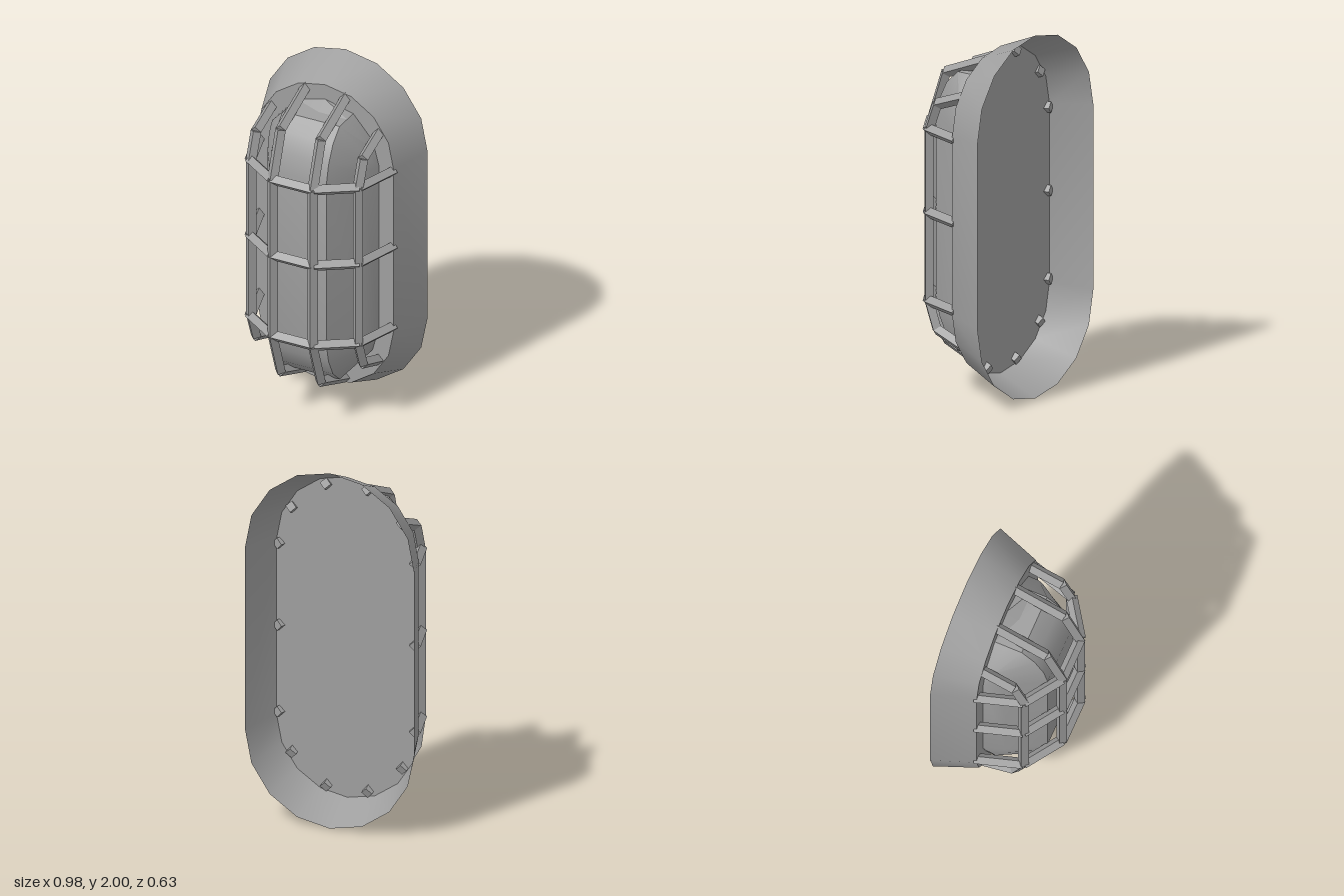
import * as THREE from 'three';
import { toCreasedNormals } from 'three/addons/utils/BufferGeometryUtils.js';

const MID = 1;          // height of the lamp's centre
const STRAIGHT = 0.49;  // half length of the straight sides
const PLATE_Z = -0.08;
const BACK_Z = -0.315;

// Long rounded outline with eight segments per half circle
function stadium(r, half) {
  const pts = [];
  for (let end = 0; end < 2; end++) {
    for (let i = 0; i <= 8; i++) {
      const a = end * Math.PI + (i * Math.PI) / 8;
      pts.push(new THREE.Vector2(r * Math.cos(a), MID + (end ? -half : half) + r * Math.sin(a)));
    }
  }
  return pts;
}

// Surface from rows of points, rows joined in order
function loft(rows, crease) {
  const n = rows[0].length, pos = [], idx = [];
  rows.forEach((row) => row.forEach((p) => pos.push(...p)));
  for (let i = 0; i < rows.length - 1; i++) {
    for (let j = 0; j < n - 1; j++) {
      const a = i * n + j, b = a + 1, d = a + n, c = d + 1;
      idx.push(a, b, c, a, c, d);
    }
  }
  const g = new THREE.BufferGeometry();
  g.setAttribute('position', new THREE.Float32BufferAttribute(pos, 3));
  g.setIndex(idx);
  return toCreasedNormals(g, crease);
}

export function createModel() {
  const group = new THREE.Group();
  const grey = new THREE.MeshStandardMaterial({ color: 0x9f9f9f, side: THREE.DoubleSide });
  grey.name = 'grey metal';

  function add(geometry, name, parent = group) {
    const m = new THREE.Mesh(geometry, grey);
    m.name = name;
    parent.add(m);
    return m;
  }

  // Flared housing, open at the back
  const ring = (r, half, z) => {
    const pts = stadium(r, half);
    return [...pts, pts[0]].map((p) => [p.x, p.y, z]);
  };
  add(loft([ring(0.49, 0.51, BACK_Z), ring(0.412, STRAIGHT, PLATE_Z)], 0.6), 'housing');

  // Flat plate closing the front of the housing
  const plate = add(new THREE.ShapeGeometry(new THREE.Shape(stadium(0.412, STRAIGHT))), 'plate');
  plate.position.z = PLATE_Z;

  // Lens: the same end profile (y, depth), shrunk towards both sides
  const half = [[0.77, 0], [0.77, 0.07], [0.77, 0.155], [0.70, 0.23], [0.60, 0.28], [0.49, 0.305]];
  const stations = [[-0.325, 0, 0], [-0.285, 0.53, 0.36], [-0.17, 1, 1], [0, 1, 1],
    [0.17, 1, 1], [0.285, 0.53, 0.36], [0.325, 0, 0]];
  const lensRows = stations.map(([x, round, depth]) => {
    const top = half.map(([y, d], j) => {
      const h = x === 0 && j === 0 ? 0.815 : STRAIGHT + round * (y - STRAIGHT);
      return [x, h, PLATE_Z + d * depth];
    });
    const bottom = top.map(([px, y, z]) => [px, -y, z]).reverse();
    return [...top, ...bottom].map(([px, y, z]) => [px, MID + y, z]);
  });
  add(loft(lensRows, 0.5), 'lens');

  // Cage: square bars set on edge, one straight piece per path segment
  const cage = new THREE.Group();
  cage.name = 'cage';
  group.add(cage);
  function bars(path, side, name) {
    for (let i = 0; i < path.length - 1; i++) {
      const a = new THREE.Vector3(...path[i]), b = new THREE.Vector3(...path[i + 1]);
      const dir = b.clone().sub(a);
      const g = new THREE.CylinderGeometry(0.031, 0.031, dir.length(), 4).toNonIndexed();
      g.computeVertexNormals();
      const m = add(g, name, cage);
      dir.normalize();
      m.quaternion.setFromRotationMatrix(
        new THREE.Matrix4().makeBasis(side, dir, side.clone().cross(dir)));
      m.position.copy(a).add(b).multiplyScalar(0.5);
    }
  }

  // Upright bars, two long and two short
  const uprights = [
    [0.12, [[0.855, -0.1], [0.735, 0.195], [0.475, 0.285]]],
    [0.32, [[0.695, -0.1], [0.622, 0.095], [0.475, 0.15]]],
  ];
  for (const [x, ends] of uprights) {
    for (const s of [-1, 1]) {
      const top = ends.map(([y, z]) => [s * x, MID + y, z]);
      const bottom = ends.map(([y, z]) => [s * x, MID - y, z]).reverse();
      bars([...top, ...bottom], new THREE.Vector3(1, 0, 0), 'uprightBar');
    }
  }

  // Cross bars
  for (const y of [-0.472, 0.015, 0.475]) {
    const right = [[0.4, -0.1], [0.325, 0.15], [0.125, 0.285]];
    const path = [...right.map(([x, z]) => [-x, MID + y, z]),
      ...right.map(([x, z]) => [x, MID + y, z]).reverse()];
    bars(path, new THREE.Vector3(0, 1, 0), 'crossBar');
  }
  return group;
}
